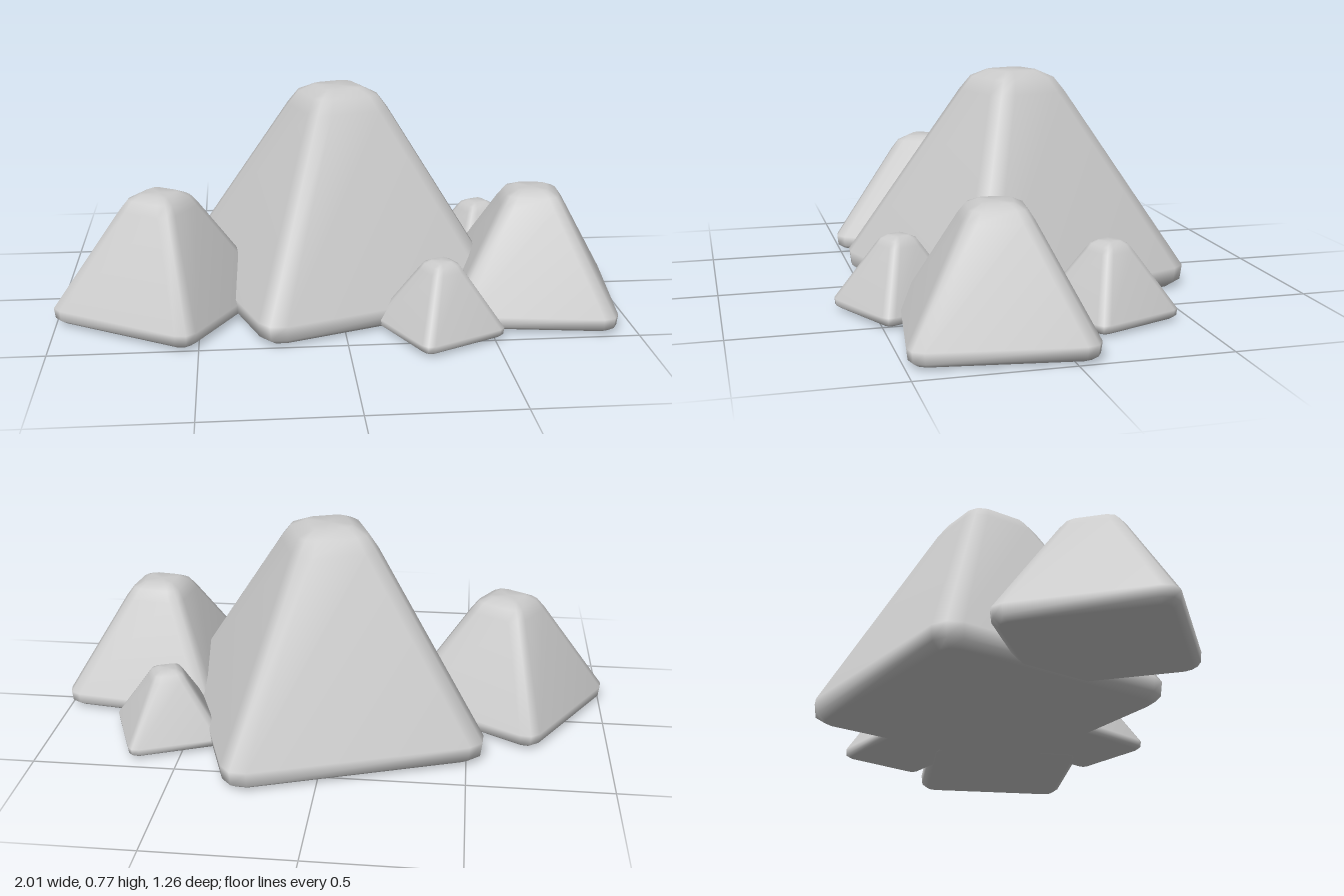
import * as THREE from 'three';

const grey = new THREE.MeshStandardMaterial({ color: 0xcccccc });

// Square outline with rounded corners, counter-clockwise seen from above
function ring(y, half, r) {
  const pts = [];
  for (let corner = 0; corner < 4; corner++) {
    const mid = Math.PI / 4 + corner * Math.PI / 2;
    const d = (half - r) * Math.SQRT2;
    for (let k = -1; k <= 1; k++) {
      const a = mid + k * Math.PI / 4;
      pts.push([d * Math.cos(mid) + r * Math.cos(a), y, -d * Math.sin(mid) - r * Math.sin(a)]);
    }
  }
  return pts;
}

// Tapered block with softly bevelled edges, lofted through rounded squares
function rockGeometry(half, height, bevel, top) {
  const levels = [
    [0, half - 0.5 * bevel, 0.65 * bevel],
    [0.3 * bevel, half - 0.08 * bevel, 0.95 * bevel],
    [bevel, half, bevel],
    [height - bevel, half * top, 0.85 * bevel],
    [height - 0.33 * bevel, half * top * 0.79, 0.7 * bevel],
    [height, half * top * 0.47, 0.4 * bevel],
  ];
  const pts = levels.flatMap((l) => ring(...l));
  const n = 12, last = (levels.length - 1) * n, index = [];
  for (let i = 0; i < levels.length - 1; i++) {
    for (let j = 0; j < n; j++) {
      const a = i * n + j, b = i * n + (j + 1) % n;
      index.push(a, b, b + n, a, b + n, a + n);
    }
  }
  // Flat caps below and above
  const low = pts.push([0, 0, 0]) - 1;
  const high = pts.push([0, height, 0]) - 1;
  for (let j = 0; j < n; j++) {
    const k = (j + 1) % n;
    index.push(low, k, j, high, last + j, last + k);
  }
  const geo = new THREE.BufferGeometry();
  geo.setAttribute('position', new THREE.Float32BufferAttribute(pts.flat(), 3));
  geo.setIndex(index);
  geo.computeVertexNormals();
  return geo;
}

export function createModel() {
  const group = new THREE.Group();
  group.name = 'rockCluster';
  // name, position, turn in degrees, half width, height, bevel, top ratio
  const rocks = [
    ['mainRock', [0.01, 0, -0.065], 19.3, 0.465, 0.77, 0.075, 0.335],
    ['rightRock', [-0.633, 0.005, 0.135], -31, 0.288, 0.437, 0.052, 0.39],
    ['leftRock', [0.682, 0.005, 0.17], -8, 0.292, 0.437, 0.052, 0.39],
    ['backPebble', [0.572, 0.007, -0.243], 22, 0.17, 0.255, 0.032, 0.38],
    ['frontPebble', [0.323, 0.007, 0.413], 26, 0.166, 0.255, 0.032, 0.38],
  ];
  for (const [name, pos, turn, ...shape] of rocks) {
    const rock = new THREE.Mesh(rockGeometry(...shape), grey);
    rock.name = name;
    rock.position.set(...pos);
    rock.rotation.y = THREE.MathUtils.degToRad(turn);
    group.add(rock);
  }
  return group;
}
